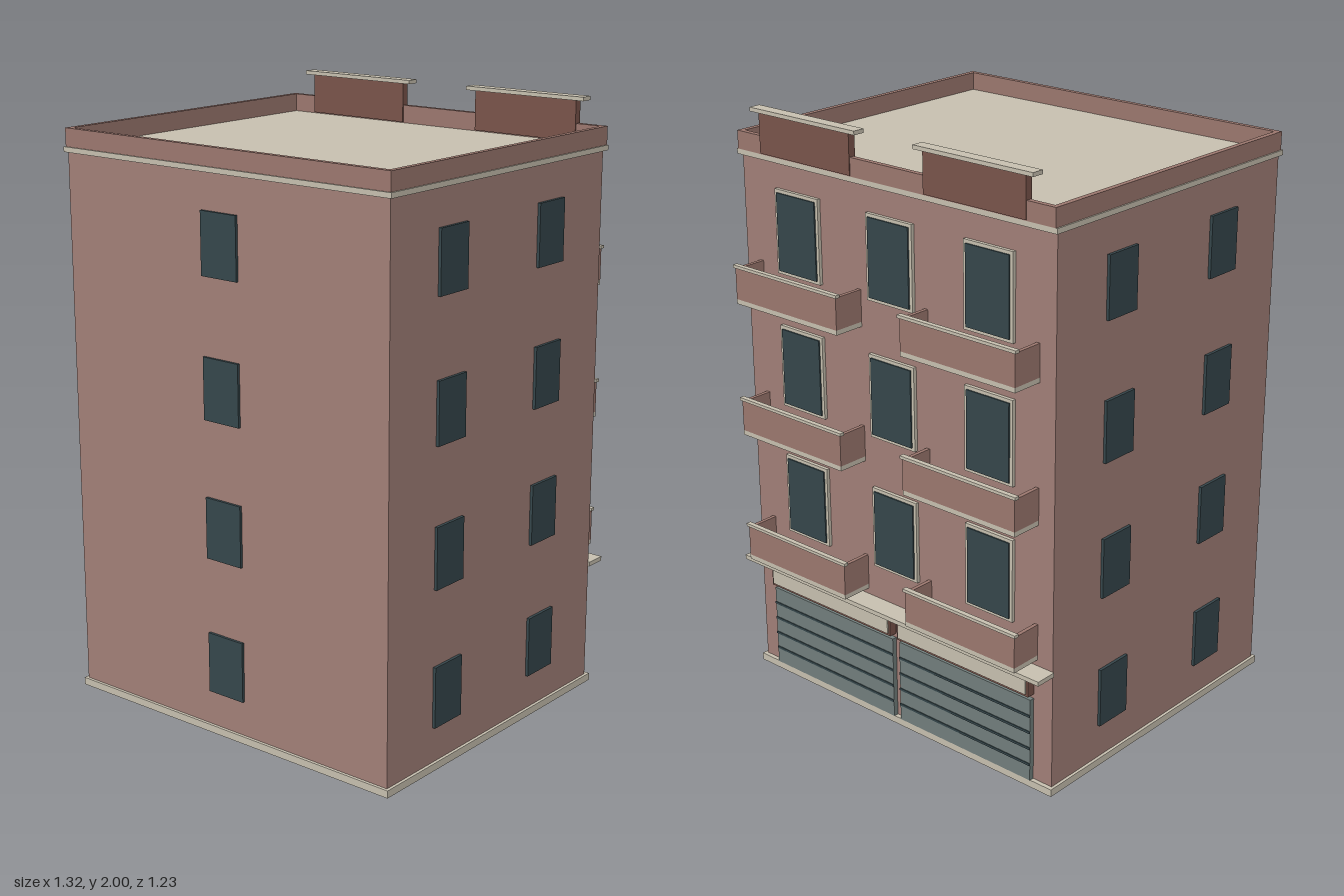
import * as THREE from 'three';

const mat = (name, color) => {
  const m = new THREE.MeshStandardMaterial({ color });
  m.name = name;
  return m;
};

export function createModel() {
  const wall = mat('wall plaster', 0xa5827a);
  const accent = mat('accent plaster', 0x9f7a71);
  const cream = mat('cream stone', 0xcbc4b3);
  const glass = mat('dark glass', 0x37484d);
  const brown = mat('dark brown', 0x7c564c);
  const steel = mat('shutter steel', 0x74817f);

  const model = new THREE.Group();
  model.name = 'apartmentBuilding';

  // Box given by its min and max on each axis
  const box = (name, material, x0, x1, y0, y1, z0, z1, parent = model) => {
    const mesh = new THREE.Mesh(new THREE.BoxGeometry(x1 - x0, y1 - y0, z1 - z0), material);
    mesh.position.set((x0 + x1) / 2, (y0 + y1) / 2, (z0 + z1) / 2);
    mesh.name = name;
    parent.add(mesh);
    return mesh;
  };

  // Main block between plinth and cornice
  box('plinth', cream, -0.66, 0.66, 0, 0.025, -0.515, 0.61);
  box('walls', wall, -0.65, 0.65, 0.025, 1.835, -0.5, 0.6);
  box('corniceAndRoof', cream, -0.66, 0.66, 1.835, 1.852, -0.515, 0.61);

  // Parapet ring
  box('parapetFront', accent, -0.655, 0.655, 1.852, 1.912, 0.587, 0.605);
  box('parapetBack', accent, -0.655, 0.655, 1.852, 1.912, -0.515, -0.497);
  for (const s of [-1, 1]) {
    const x = s * 0.646;
    box('parapetSide', accent, x - 0.009, x + 0.009, 1.852, 1.912, -0.497, 0.587);
  }

  // Raised boards with caps on the back parapet
  for (const x of [-0.35, 0.35]) {
    box('roofBoard', brown, x - 0.198, x + 0.198, 1.855, 1.987, -0.518, -0.492);
    box('roofBoardCap', cream, x - 0.23, x + 0.23, 1.987, 2, -0.526, -0.484);
  }

  // Plain windows on the front and both sides
  const floorStep = 0.457;
  for (let f = 0; f < 4; f++) {
    const y0 = 0.143 + f * floorStep, y1 = y0 + 0.203;
    box('frontWindow', glass, -0.072, 0.072, y0, y1, 0.6, 0.609);
    for (const z of [-0.204, 0.305]) {
      box('leftWindow', glass, 0.65, 0.66, y0, y1, z - 0.068, z + 0.068);
      box('rightWindow', glass, -0.66, -0.65, y0, y1, z - 0.068, z + 0.068);
    }
  }

  // Balcony: slab, front wall with cap, two return walls
  const balcony = (x, y) => {
    const g = new THREE.Group();
    g.name = 'balcony';
    const a = x - 0.227, b = x + 0.227;
    box('balconySlab', cream, a, b, y, y + 0.016, -0.61, -0.5, g);
    box('balconyFront', accent, a, b, y + 0.016, y + 0.122, -0.61, -0.597, g);
    box('balconyCap', cream, a - 0.006, b + 0.006, y + 0.122, y + 0.132, -0.615, -0.598, g);
    box('balconyReturn', accent, a, a + 0.013, y + 0.016, y + 0.122, -0.597, -0.5, g);
    box('balconyReturn', accent, b - 0.013, b, y + 0.016, y + 0.122, -0.597, -0.5, g);
    model.add(g);
  };

  // Upper back floors: framed windows and paired balconies
  for (let f = 0; f < 3; f++) {
    const y = 0.456 + f * floorStep;
    for (const x of [-0.4, 0, 0.4]) {
      box('backWindowFrame', cream, x - 0.096, x + 0.096, y + 0.1, y + 0.38, -0.512, -0.5);
      box('backWindow', glass, x - 0.085, x + 0.085, y + 0.111, y + 0.369, -0.517, -0.512);
    }
    for (const x of [-0.362, 0.362]) balcony(x, y);
  }

  // Ground floor back: canopy, sign boxes and roller shutters
  box('canopy', cream, -0.655, 0.655, 0.42, 0.435, -0.575, -0.5);
  for (const x of [-0.295, 0.295]) {
    const a = x - 0.28, b = x + 0.28;
    box('signBox', brown, a, b, 0.33, 0.402, -0.528, -0.5);
    box('signPanel', cream, a + 0.008, b - 0.008, 0.339, 0.394, -0.533, -0.528);
    box('shutter', steel, a, b, 0.025, 0.315, -0.517, -0.5);
    for (let i = 1; i < 5; i++) {
      const y = 0.025 + i * 0.058;
      box('shutterGroove', glass, a, b, y - 0.004, y + 0.004, -0.52, -0.517);
    }
  }

  return model;
}
